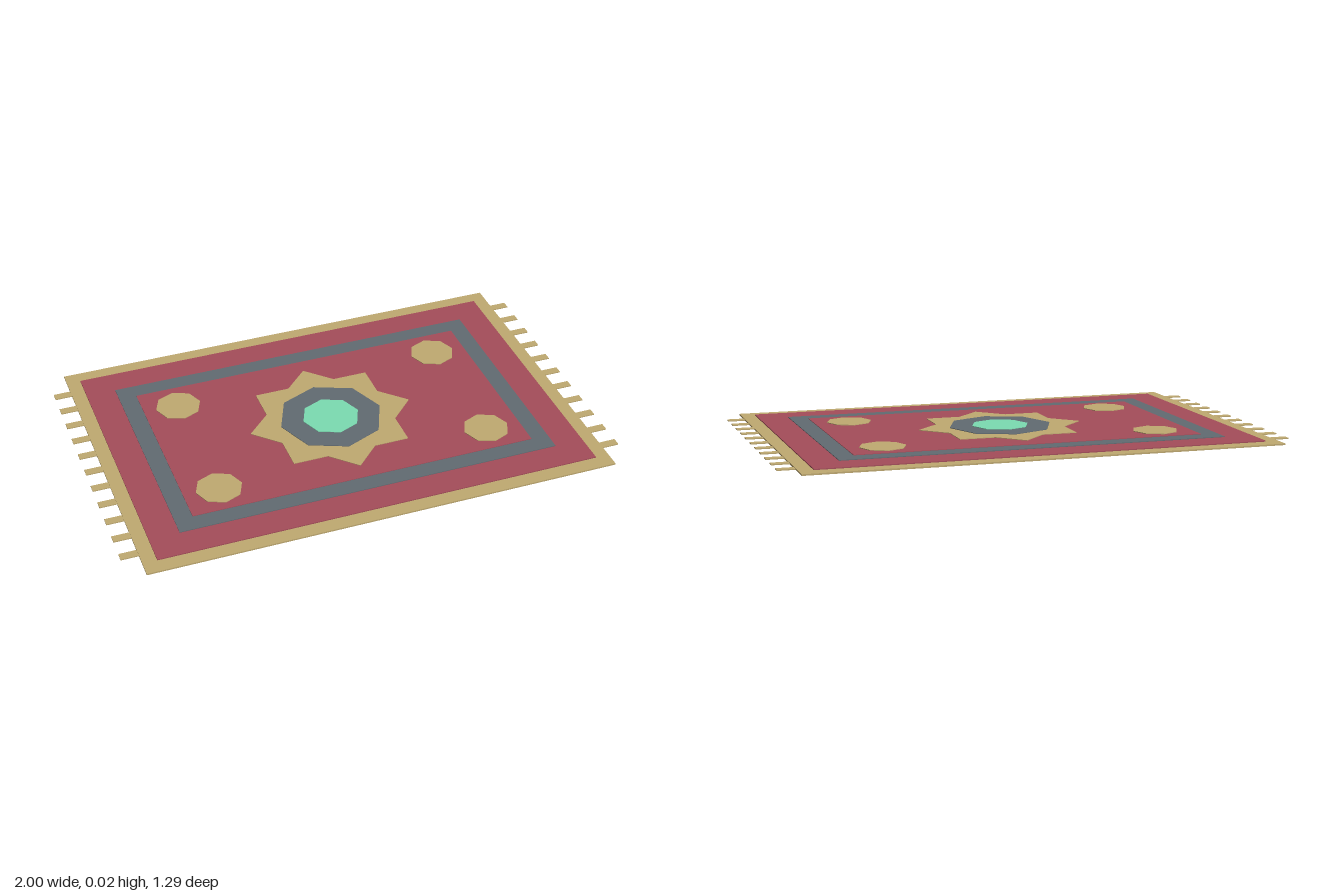
import * as THREE from 'three';

const material = (color) => new THREE.MeshStandardMaterial({ color, flatShading: true });

export function createModel() {
  const rug = new THREE.Group();
  rug.name = 'rug';
  const tan = material(0xc0aa71);
  const red = material(0xa54d5a);
  const grey = material(0x616b72);
  const mint = material(0x7cdcb2);

  const add = (name, geometry, mat, x = 0, y = 0, z = 0) => {
    const mesh = new THREE.Mesh(geometry, mat);
    mesh.name = name;
    mesh.position.set(x, y, z);
    rug.add(mesh);
    return mesh;
  };
  // Flat slab given by half sizes and its bottom and top heights
  const slab = (name, hx, hz, y0, y1, mat, x = 0, z = 0) =>
    add(name, new THREE.BoxGeometry(hx * 2, y1 - y0, hz * 2), mat, x, (y0 + y1) / 2, z);
  // Flat octagon with corners on the axes
  const octagon = (name, r, y0, y1, mat, x = 0, z = 0) =>
    add(name, new THREE.CylinderGeometry(r, r, y1 - y0, 8), mat, x, (y0 + y1) / 2, z);

  // Woven layers, each a little higher than the one around it
  slab('border', 0.932, 0.645, 0.001, 0.007, tan);
  slab('outerField', 0.877, 0.587, 0.002, 0.011, red);
  slab('frameBand', 0.76, 0.472, 0.002, 0.0135, grey);
  slab('innerField', 0.69, 0.402, 0, 0.0155, red);

  // Eight-pointed star
  const R = 0.334;
  const notch = R * Math.cos(Math.PI / 4) / Math.cos(Math.PI / 8);
  const points = [];
  for (let i = 0; i < 16; i++) {
    const a = (i * Math.PI) / 8;
    const r = i % 2 ? notch : R;
    points.push(new THREE.Vector2(r * Math.cos(a), r * Math.sin(a)));
  }
  const star = new THREE.ExtrudeGeometry(new THREE.Shape(points), { depth: 0.008, bevelEnabled: false });
  star.rotateX(-Math.PI / 2);
  add('star', star, tan, 0, 0.01, 0);

  // Centre medallion
  octagon('medallion', 0.208, 0.012, 0.02, grey);
  octagon('medallionCentre', 0.115, 0.014, 0.022, mint);

  for (const sx of [-1, 1]) {
    // Corner medallions
    for (const sz of [-1, 1]) octagon('cornerMedallion', 0.091, 0.01, 0.018, tan, sx * 0.55, sz * 0.278);
    // Fringe tassels along the short ends
    for (let i = -5; i <= 5; i++) slab('tassel', 0.04, 0.0165, 0.0015, 0.0055, tan, sx * 0.96, i * 0.104);
  }
  return rug;
}
